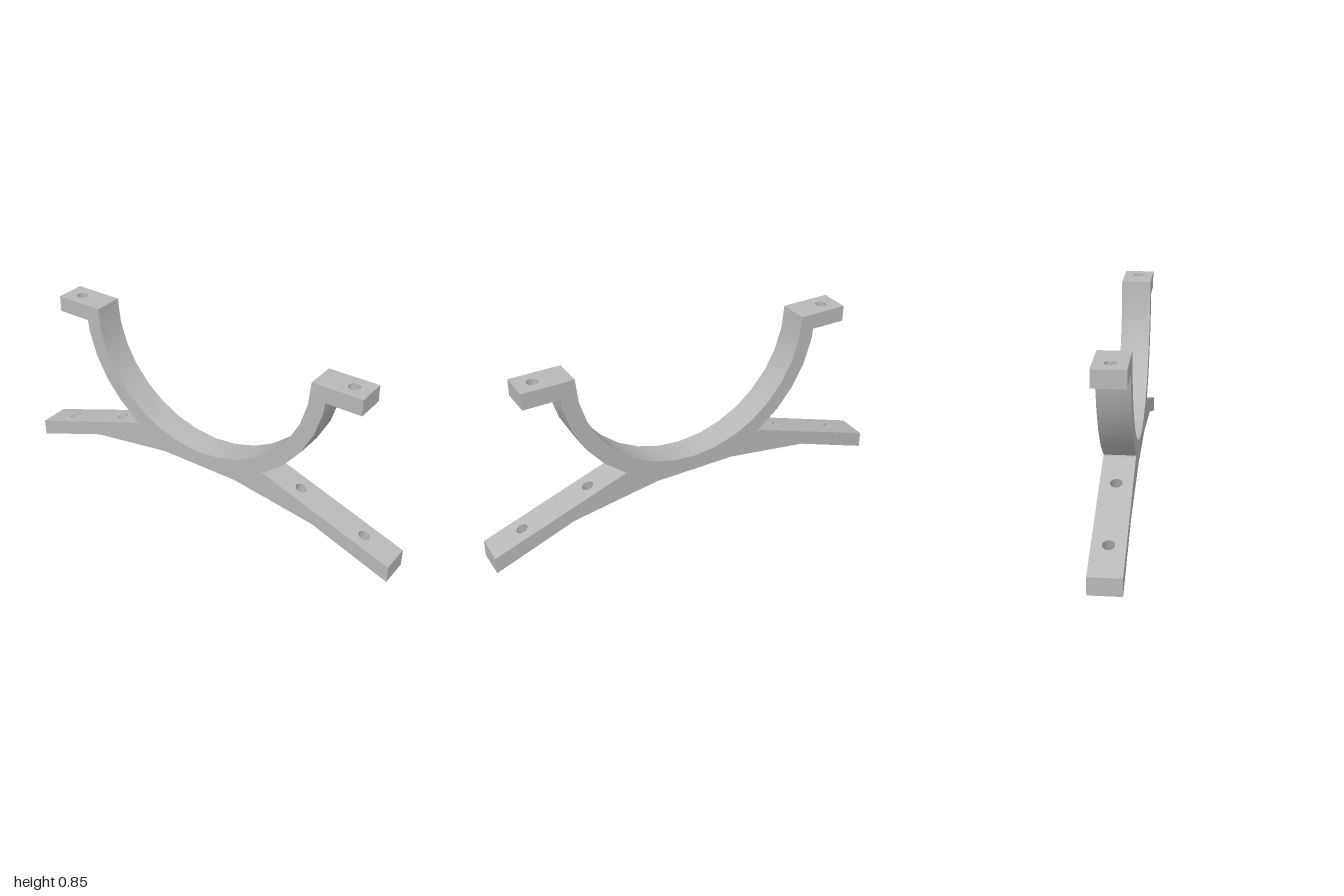
import * as THREE from 'three';
import { toCreasedNormals } from 'three/addons/utils/BufferGeometryUtils.js';

const WIDTH = 0.142, HALF = WIDTH / 2, HOLE_R = 0.026;
const RIM_Y = 0.852, INNER_R = 0.572, OUTER_R = 0.648;

// Extrude a (z, y) side profile across the width of the strap
function sideExtrude(points) {
  const geo = new THREE.ExtrudeGeometry(new THREE.Shape(points), { depth: WIDTH, bevelEnabled: false });
  return geo.translate(0, 0, -HALF).rotateY(-Math.PI / 2);
}

// Drilled plate lofted between a top edge and a bottom edge, each given as
// [z, y] pairs from the outer end inwards; the hole runs square to the top.
function drilledPlate(top, bottom, holeZ) {
  const [t0, t1, b0, b1] = [...top, ...bottom].map(p => new THREE.Vector2(...p));
  const length = t0.distanceTo(t1);
  const along = t1.clone().sub(t0).normalize();
  const down = new THREE.Vector2(along.y, -along.x);
  if (down.y > 0) down.negate();
  const under = b1.clone().sub(b0);

  const shape = new THREE.Shape([
    new THREE.Vector2(-HALF, 0), new THREE.Vector2(HALF, 0),
    new THREE.Vector2(HALF, length), new THREE.Vector2(-HALF, length)
  ]);
  const holeS = (t0.x - holeZ) / -along.x;
  shape.holes.push(new THREE.Path().absarc(0, holeS, HOLE_R, 0, Math.PI * 2, true));
  const geo = new THREE.ExtrudeGeometry(shape, { depth: 1, bevelEnabled: false, curveSegments: 24 });

  const pos = geo.attributes.position;
  for (let i = 0; i < pos.count; i++) {
    const x = pos.getX(i), s = pos.getY(i);
    let p = t0.clone().addScaledVector(along, s);
    if (pos.getZ(i) < 0.5) {
      if (Math.abs(x) > HALF * 0.9) {
        p = s < length / 2 ? b0 : b1;
      } else {
        // Drop the hole rim onto the underside
        const t = b0.clone().sub(p).cross(under) / down.cross(under);
        p.addScaledVector(down, t);
      }
    }
    pos.setXYZ(i, x, p.y, p.x);
  }
  geo.computeVertexNormals();
  return toCreasedNormals(geo, 0.5);
}

export function createModel() {
  const model = new THREE.Group();
  model.name = 'cradleBracket';
  const grey = new THREE.MeshStandardMaterial({ color: 0xb8b8b8 });
  grey.name = 'plain grey';
  const add = (parent, name, geo) => {
    const mesh = new THREE.Mesh(geo, grey);
    mesh.name = name;
    parent.add(mesh);
  };

  // Half-round cradle
  const arc = r => Array.from({ length: 17 }, (_, i) => {
    const a = Math.PI * (1 + i / 16);
    return new THREE.Vector2(Math.cos(a) * r, RIM_Y + Math.sin(a) * r);
  });
  const ring = sideExtrude([...arc(OUTER_R), ...arc(INNER_R).reverse()]);
  add(model, 'cradle', toCreasedNormals(ring, 0.3));

  // Solid web joining the cradle to both feet
  const half = [[0.2, 0.205], [0.318, 0.187], [0.36, 0.305], [0.2, 0.29]];
  const web = [
    ...half, [0, 0.25], ...half.map(([z, y]) => [-z, y]).reverse()
  ].map(p => new THREE.Vector2(...p));
  add(model, 'web', sideExtrude(web));

  // Foot and bolting tab at each end
  for (const [name, turn] of [['front', 0], ['back', Math.PI]]) {
    const end = new THREE.Group();
    end.name = name + 'End';
    end.rotation.y = turn;
    add(end, name + 'FootTip', drilledPlate(
      [[1, 0.08], [0.645, 0.205]], [[1, 0], [0.62, 0.14]], 0.843));
    add(end, name + 'FootRoot', drilledPlate(
      [[0.645, 0.205], [0.36, 0.305]], [[0.62, 0.14], [0.318, 0.187]], 0.516));
    add(end, name + 'Tab', drilledPlate(
      [[0.81, RIM_Y], [0.64, RIM_Y]], [[0.81, 0.776], [0.64, 0.776]], 0.73));
    model.add(end);
  }
  return model;
}
